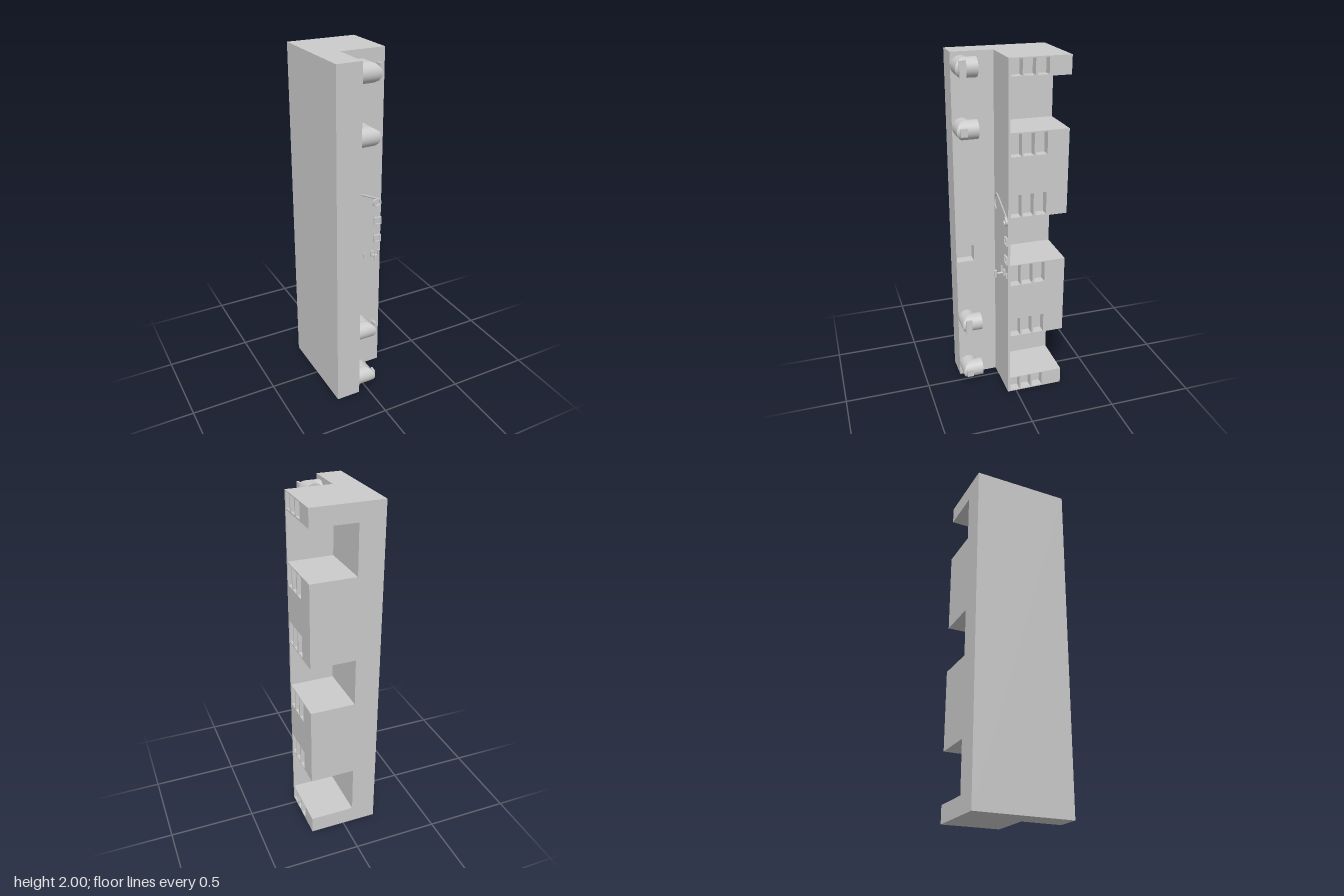
import * as THREE from 'three';

const material = new THREE.MeshStandardMaterial({ color: 0xcccccc, side: THREE.DoubleSide });

function add(parent, name, geometry, x = 0, y = 0, z = 0) {
  const mesh = new THREE.Mesh(geometry, material);
  mesh.name = name;
  mesh.position.set(x, y, z);
  parent.add(mesh);
  return mesh;
}

// Box given by its limits on each axis
function addBox(parent, name, [x0, x1], [y0, y1], [z0, z1]) {
  return add(parent, name, new THREE.BoxGeometry(x1 - x0, y1 - y0, z1 - z0),
    (x0 + x1) / 2, (y0 + y1) / 2, (z0 + z1) / 2);
}

// Counterclockwise rectangle points
const rect = (a0, a1, b0, b1) => [[a0, b0], [a1, b0], [a1, b1], [a0, b1]].map(p => new THREE.Vector2(...p));

// Block with rectangular pockets sunk into its +x face; pockets are [z0, z1, y0, y1]
function addPocketBlock(parent, name, [x0, x1], [y0, y1], [z0, z1], pockets, depth) {
  const group = new THREE.Group();
  group.name = name;
  const face = new THREE.Shape(rect(-z1, -z0, y0, y1));
  for (const [a, b, c, d] of pockets) face.holes.push(new THREE.Path(rect(-b, -a, c, d)));
  const geometry = new THREE.ExtrudeGeometry(face, { depth, bevelEnabled: false });
  geometry.rotateY(Math.PI / 2);
  add(group, 'pocketFace', geometry, x1 - depth);
  addBox(group, 'solidCore', [x0, x1 - depth], [y0, y1], [z0, z1]);
  parent.add(group);
}

// Mitred right-angle pipe elbow: one leg reaches -x, the other -z
function addElbow(parent, y, labelHeight) {
  const r = 0.053, cz = 0.232;
  const group = new THREE.Group();
  group.name = 'pipeElbow';
  group.position.set(0, y, cz);

  const sideLeg = new THREE.CylinderGeometry(r, r, 1, 40).rotateZ(-Math.PI / 2);
  const backLeg = new THREE.CylinderGeometry(r, r, 1, 40).rotateX(Math.PI / 2);
  const a = sideLeg.attributes.position, b = backLeg.attributes.position;
  for (let i = 0; i < a.count; i++) {
    a.setX(i, a.getX(i) > 0 ? a.getZ(i) : -0.062);
    b.setZ(i, b.getZ(i) > 0 ? b.getX(i) : -0.069);
  }
  add(group, 'sideLeg', sideLeg);
  add(group, 'backLeg', backLeg);
  addBox(group, 'blankTag', [0.05, 0.063], [-labelHeight / 2, labelHeight / 2], [-0.003, 0.034]);
  parent.add(group);
}

export function createModel() {
  const model = new THREE.Group();
  model.name = 'cabinet';
  const front = 0.052;

  // Full-height column with one pocket on its inner face
  addPocketBlock(model, 'column', [-0.202, -0.058], [0, 2], [-0.286, 0.286],
    [[0.18, 0.283, 0.79, 0.89]], 0.06);

  // Thin front panel that bridges the open bays
  addBox(model, 'frontPanel', [-0.058, 0.202], [0, 2], [0.04, front]);

  // Stacked blocks, each with rows of three pockets next to the bays
  const blocks = [
    [[0, 0.1], [[0.008, 0.096]]],
    [[0.39, 0.86], [[0.395, 0.512], [0.73, 0.855]]],
    [[1.14, 1.62], [[1.148, 1.277], [1.49, 1.613]]],
    [[1.9, 2], [[1.908, 1.994]]],
  ];
  const pocketColumns = [[-0.022, 0.037], [-0.092, -0.031], [-0.165, -0.104]];
  for (const [span, rows] of blocks) {
    const pockets = rows.flatMap(row => pocketColumns.map(col => [...col, ...row]));
    addPocketBlock(model, 'block', [-0.058, 0.202], span, [-0.286, 0.04], pockets, 0.05);
  }

  // Pipe elbows
  for (const [y, tag] of [[1.928, 0.09], [1.6, 0.045], [0.41, 0.09], [0.08, 0.045]]) addElbow(model, y, tag);

  // Hooked lever: arc, straight arm and pivot ring
  const path = new THREE.CurvePath();
  const arc = [];
  for (let i = 0; i <= 16; i++) {
    const t = THREE.MathUtils.degToRad(248 - i * 11.25);
    arc.push(new THREE.Vector3(0.002 + 0.049 * Math.cos(t), 1.166 + 0.049 * Math.sin(t), 0));
  }
  path.add(new THREE.CatmullRomCurve3(arc));
  path.add(new THREE.LineCurve3(arc[16], new THREE.Vector3(0.188, 1.137, 0)));
  const lever = add(model, 'hookLever', new THREE.TubeGeometry(path, 60, 0.006, 8), 0, 0, front);
  lever.scale.z = 0.9;
  const ringShape = new THREE.Shape().absarc(0.0, 0, 0.026, 0, Math.PI * 2);
  ringShape.holes.push(new THREE.Path().absarc(0, 0, 0.017, 0, Math.PI * 2, true));
  add(model, 'leverRing', new THREE.ExtrudeGeometry(ringShape, { depth: 0.013, bevelEnabled: false, curveSegments: 16 }),
    0.172, 1.12, front);

  // Square button frames with a recessed button
  for (const y of [1.003, 0.888]) {
    const frame = new THREE.Shape(rect(-0.023, 0.023, -0.023, 0.023));
    frame.holes.push(new THREE.Path(rect(-0.017, 0.017, -0.017, 0.017)));
    add(model, 'buttonFrame', new THREE.ExtrudeGeometry(frame, { depth: 0.011, bevelEnabled: false }), 0.178, y, front);
    addBox(model, 'button', [0.161, 0.195], [y - 0.017, y + 0.017], [front, front + 0.003]);
  }

  // Toggle switch with a cross knob, between two plain raised marks
  add(model, 'toggleBase', new THREE.BoxGeometry(0.016, 0.04, 0.012), 0.142, 0.792, front + 0.006);
  add(model, 'toggleStem', new THREE.CylinderGeometry(0.006, 0.006, 0.055, 16).rotateX(Math.PI / 2), 0.142, 0.792, 0.08);
  add(model, 'toggleKnob', new THREE.CylinderGeometry(0.009, 0.009, 0.04, 20), 0.142, 0.792, 0.107);
  for (const x of [0.094, 0.189]) add(model, 'switchMark', new THREE.BoxGeometry(0.009, 0.034, 0.01), x, 0.792, front + 0.005);

  return model;
}
